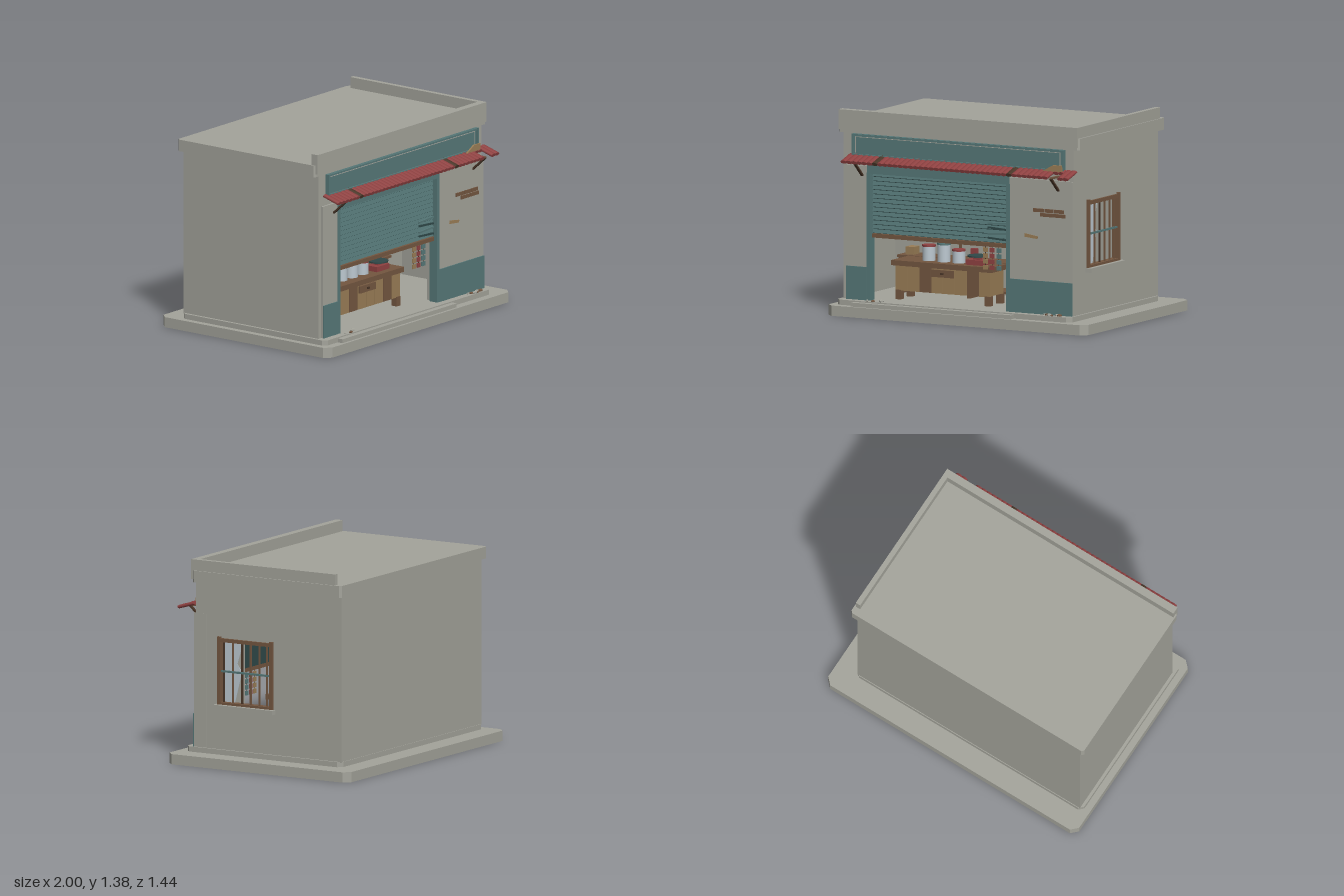
import * as THREE from 'three';

const mat = (name, color) => {
  const m = new THREE.MeshStandardMaterial({ color });
  m.name = name;
  return m;
};

export function createModel() {
  const concrete = mat('concrete', 0xa3a39a), teal = mat('teal paint', 0x567878), darkTeal = mat('dark teal', 0x2f4848);
  const red = mat('red', 0x8f4141), wood = mat('wood', 0x735640), tan = mat('tan wood', 0x997d56);
  const darkWood = mat('dark wood', 0x4a3628), glass = mat('pale glass', 0xbcc8d0);
  const root = new THREE.Group();
  root.name = 'shop';

  const add = (name, geo, material, parent = root) => {
    const m = new THREE.Mesh(geo, material);
    m.name = name;
    parent.add(m);
    return m;
  };
  const group = (name) => {
    const g = new THREE.Group();
    g.name = name;
    root.add(g);
    return g;
  };
  // box given by its limits on each axis
  const box = (name, material, x0, x1, y0, y1, z0, z1, parent) => {
    const m = add(name, new THREE.BoxGeometry(x1 - x0, y1 - y0, z1 - z0), material, parent);
    m.position.set((x0 + x1) / 2, (y0 + y1) / 2, (z0 + z1) / 2);
    return m;
  };
  const poly = (pts) => new THREE.Shape(pts.map(([x, y]) => new THREE.Vector2(x, y)));
  const extrude = (shape, depth) => new THREE.ExtrudeGeometry(shape, { depth, bevelEnabled: false });
  // flat slab with cut corners
  const slab = (name, x0, x1, z0, z1, y0, y1, c) => {
    const s = poly([[x0 + c, -z1], [x1 - c, -z1], [x1, -z1 + c], [x1, -z0 - c],
      [x1 - c, -z0], [x0 + c, -z0], [x0, -z0 - c], [x0, -z1 + c]]);
    add(name, extrude(s, y1 - y0).rotateX(-Math.PI / 2).translate(0, y0, 0), concrete);
  };
  const can = (name, material, x, y0, y1, z, r, parent) => {
    const m = add(name, new THREE.CylinderGeometry(r, r, y1 - y0, 16), material, parent);
    m.position.set(x, (y0 + y1) / 2, z);
    return m;
  };

  // base, step and roof
  slab('baseSlab', -1, 1, -0.72, 0.72, 0, 0.07, 0.045);
  slab('plinth', -0.955, 0.85, -0.57, 0.66, 0.07, 0.105, 0.03);
  box('frontStep', concrete, -0.82, 0.42, 0.07, 0.097, 0.64, 0.7);
  slab('roofSlab', -0.975, 0.88, -0.587, 0.59, 1.23, 1.31, 0.015);
  box('frontParapet', concrete, -0.965, 0.87, 1.25, 1.385, 0.55, 0.602);
  box('sideParapet', concrete, 0.835, 0.87, 1.31, 1.385, -0.535, 0.55);

  // walls around a hollow shop
  box('backWall', concrete, -0.935, 0.835, 0.1, 1.23, -0.565, -0.06);
  box('leftWall', concrete, -0.935, -0.9, 0.1, 1.23, -0.06, 0.585);
  const side = poly([[-0.585, 0.1], [0.06, 0.1], [0.06, 1.23], [-0.585, 1.23]]);
  side.holes.push(poly([[-0.4, 0.41], [-0.4, 0.86], [0.02, 0.86], [0.02, 0.41]]));
  add('windowWall', extrude(side, 0.045).rotateY(Math.PI / 2).translate(0.79, 0, 0), concrete);
  box('wallAboveOpening', concrete, -0.9, 0.79, 1.0, 1.23, 0.5, 0.585);
  const front = poly([[-0.905, 0.1], [-0.745, 0.1], [-0.745, 0.99], [0.35, 0.99],
    [0.35, 0.1], [0.836, 0.1], [0.836, 1.015], [-0.905, 1.015]]);
  add('frontWall', extrude(front, 0.1).translate(0, 0, 0.5), concrete);
  box('leftWainscot', teal, -0.905, -0.745, 0.105, 0.33, 0.6, 0.608);
  box('rightWainscot', teal, 0.35, 0.836, 0.105, 0.33, 0.6, 0.608);

  // roller shutter
  const shutter = group('shutter');
  box('shutterBack', darkTeal, -0.73, 0.335, 0.55, 0.99, 0.55, 0.556, shutter);
  for (let i = 0; i < 14; i++) {
    const y = 0.56 + i * 0.0295;
    const slat = box('shutterSlat', teal, -0.72, 0.33, y, y + 0.025, 0.557, 0.569, shutter);
    slat.rotation.x = -0.25;
  }
  for (let i = 0; i < 4; i++) {
    const dent = box('bentSlat', i % 2 ? teal : darkTeal, 0.17, 0.325, 0.58 + i * 0.035, 0.592 + i * 0.035, 0.568, 0.58, shutter);
    dent.rotation.z = i % 2 ? 0.06 : -0.06;
  }
  box('shutterBottomRail', wood, -0.72, 0.33, 0.53, 0.557, 0.55, 0.58, shutter);
  box('shutterHousing', teal, -0.745, 0.35, 0.965, 1.022, 0.55, 0.606, shutter);
  for (const x of [-0.747, 0.328]) box('shutterTrack', teal, x, x + 0.025, 0.105, 0.97, 0.54, 0.606, shutter);

  // blank sign board
  const sign = group('signBoard');
  box('signPanel', teal, -0.85, 0.765, 1.08, 1.228, 0.585, 0.6, sign);
  for (const x of [-0.86, 0.757]) box('signEdge', teal, x, x + 0.015, 1.08, 1.228, 0.585, 0.615, sign);
  for (const y of [1.08, 1.215]) box('signRail', teal, -0.86, 0.772, y, y + 0.012, 0.585, 0.612, sign);
  for (const x of [-0.838, 0.738]) box('signLine', concrete, x, x + 0.006, 1.1, 1.21, 0.599, 0.603, sign);
  box('signTopLine', concrete, -0.838, 0.744, 1.206, 1.21, 0.599, 0.603, sign);

  // corrugated awning, one ridge at a time, with a broken stretch
  const awning = group('awning');
  for (let i = 0; i < 44; i++) {
    const x = -0.865 + i * 0.0397;
    const broken = x > 0.69 && x < 0.77;
    const len = broken ? 0.045 : 0.13;
    const ridge = add('awningRidge', new THREE.CylinderGeometry(0.024, 0.024, len, 8),
      i === 6 || i === 32 ? darkWood : red, awning);
    ridge.scale.z = 0.5;
    const t = len / 2;
    ridge.position.set(x, 1.084 - t * 0.28, 0.588 + t * 0.96);
    ridge.rotation.x = Math.PI / 2 + 0.285;
  }
  const patch = add('awningPatch', extrude(poly([[0.61, 1.075], [0.77, 1.075], [0.765, 1.125], [0.7, 1.125]]), 0.012), tan, awning);
  patch.position.z = 0.618;
  for (const x of [-0.785, 0.725]) {
    box('bracketArm', wood, x - 0.009, x + 0.009, 1.04, 1.052, 0.58, 0.705, awning);
    const strut = box('bracketStrut', darkWood, x - 0.009, x + 0.009, 0.925, 1.068, 0.645, 0.657, awning);
    strut.position.y = 0.997;
    strut.rotation.x = 0.84;
  }

  // barred side window
  const win = group('sideWindow');
  for (const z of [-0.028, 0.385]) box('windowPost', wood, 0.8, 0.852, 0.41, 0.873, z, z + 0.025, win);
  box('windowHead', wood, 0.8, 0.85, 0.838, 0.863, -0.02, 0.4, win);
  box('windowFoot', wood, 0.8, 0.85, 0.41, 0.428, -0.02, 0.4, win);
  for (const z of [0.365, 0.295, 0.222, 0.155, 0.086, 0.025])
    box('windowBar', z === 0.365 || z === 0.222 ? darkWood : wood, 0.826, 0.836, 0.42, 0.85, z - 0.005, z + 0.005, win);
  box('windowCrossBar', teal, 0.83, 0.842, 0.632, 0.645, -0.02, 0.4, win);
  box('windowSill', concrete, 0.83, 0.88, 0.382, 0.412, -0.045, 0.423, win);
  const pane = poly([[-0.385, 0.428], [-0.29, 0.428], [-0.235, 0.64], [-0.272, 0.69], [-0.225, 0.838], [-0.385, 0.838]]);
  add('brokenPane', extrude(pane, 0.004).rotateY(Math.PI / 2).translate(0.81, 0, 0), glass, win);

  // counter with plank front
  const counter = group('counter');
  box('counterTop', wood, -0.635, 0.14, 0.335, 0.37, 0.24, 0.47, counter);
  box('counterBody', tan, -0.6, 0.11, 0.17, 0.335, 0.26, 0.44, counter);
  [tan, tan, wood, tan, tan, tan, wood, tan].forEach((m, i) => {
    const x = -0.61 + i * 0.0915;
    box('counterPlank', m, x, x + 0.087, 0.165, 0.335, 0.44, 0.452, counter);
  });
  for (const x of [-0.61, 0.077]) for (const z of [0.26, 0.415])
    box('counterLeg', wood, x, x + 0.042, 0.105, 0.17, z, z + 0.042, counter);
  box('drawer', wood, -0.33, -0.16, 0.277, 0.326, 0.45, 0.466, counter);
  box('drawerKnob', darkWood, -0.255, -0.235, 0.295, 0.308, 0.466, 0.476, counter);

  // wall shelves and their goods
  const shelves = group('shelves');
  for (const y of [0.155, 0.35]) box('shelf', wood, -0.74, 0.348, y, y + 0.016, 0.04, 0.2, shelves);
  for (const x of [-0.735, -0.21, 0.3]) box('shelfPost', wood, x, x + 0.025, 0.105, 0.36, 0.05, 0.19, shelves);
  box('woodenCrate', tan, -0.7, -0.635, 0.366, 0.418, 0.08, 0.16, shelves);
  box('paleTin', glass, -0.715, -0.65, 0.171, 0.248, 0.08, 0.16, shelves);
  can('smallTin', wood, 0.145, 0.171, 0.225, 0.14, 0.023, shelves);
  can('tallTin', tan, 0.25, 0.171, 0.252, 0.14, 0.025, shelves);

  // goods on the counter
  const goods = group('counterGoods');
  for (const [x, top, lid] of [[-0.405, 0.465, red], [-0.29, 0.485, teal], [-0.175, 0.45, red]]) {
    can('jar', glass, x, 0.37, top, 0.36, 0.044, goods);
    can('jarLid', lid, x, top, top + 0.013, 0.36, 0.046, goods);
  }
  box('balancePost', wood, -0.21, -0.195, 0.37, 0.535, 0.28, 0.295, goods);
  box('balanceBeam', teal, -0.26, -0.145, 0.51, 0.525, 0.28, 0.296, goods);
  box('scaleBody', red, -0.09, 0.045, 0.37, 0.405, 0.33, 0.42, goods);
  box('scaleNeck', red, -0.045, 0.0, 0.405, 0.425, 0.355, 0.395, goods);
  can('scalePan', darkTeal, -0.022, 0.425, 0.434, 0.375, 0.07, goods);
  box('redPacket', red, -0.115, -0.07, 0.37, 0.465, 0.28, 0.31, goods);

  // hanging strips of packets
  [tan, red, teal].forEach((m, s) => {
    const x = 0.14 + s * 0.051;
    box('packetString', darkWood, x - 0.002, x + 0.002, 0.37, 0.54, 0.553, 0.556, goods);
    for (let i = 0; i < 4; i++)
      box('packet', m, x - 0.017, x + 0.017, 0.37 + i * 0.04, 0.4 + i * 0.04, 0.55, 0.559, goods);
  });

  // exposed bricks, bare plaster and rubble
  for (const [x0, x1, y] of [[0.535, 0.62, 0.796], [0.627, 0.69, 0.796], [0.697, 0.77, 0.796], [0.59, 0.68, 0.767], [0.687, 0.78, 0.767]])
    box('exposedBrick', wood, x0, x1, y, y + 0.024, 0.59, 0.608);
  add('plasterPatch', extrude(poly([[0.465, 0.622], [0.565, 0.612], [0.57, 0.63], [0.47, 0.645]]), 0.006).translate(0, 0, 0.599), tan);
  for (let i = 0; i < 9; i++) {
    const r = 0.01 + 0.004 * (i % 3);
    const left = i > 5;
    const chip = add('rubble', new THREE.DodecahedronGeometry(r), i % 2 ? wood : concrete);
    chip.scale.y = 0.6;
    chip.position.set(left ? -0.72 + (i - 6) * 0.05 : 0.635 + i * 0.024, 0.111, 0.628 + 0.009 * ((i * 5) % 4));
  }
  return root;
}
